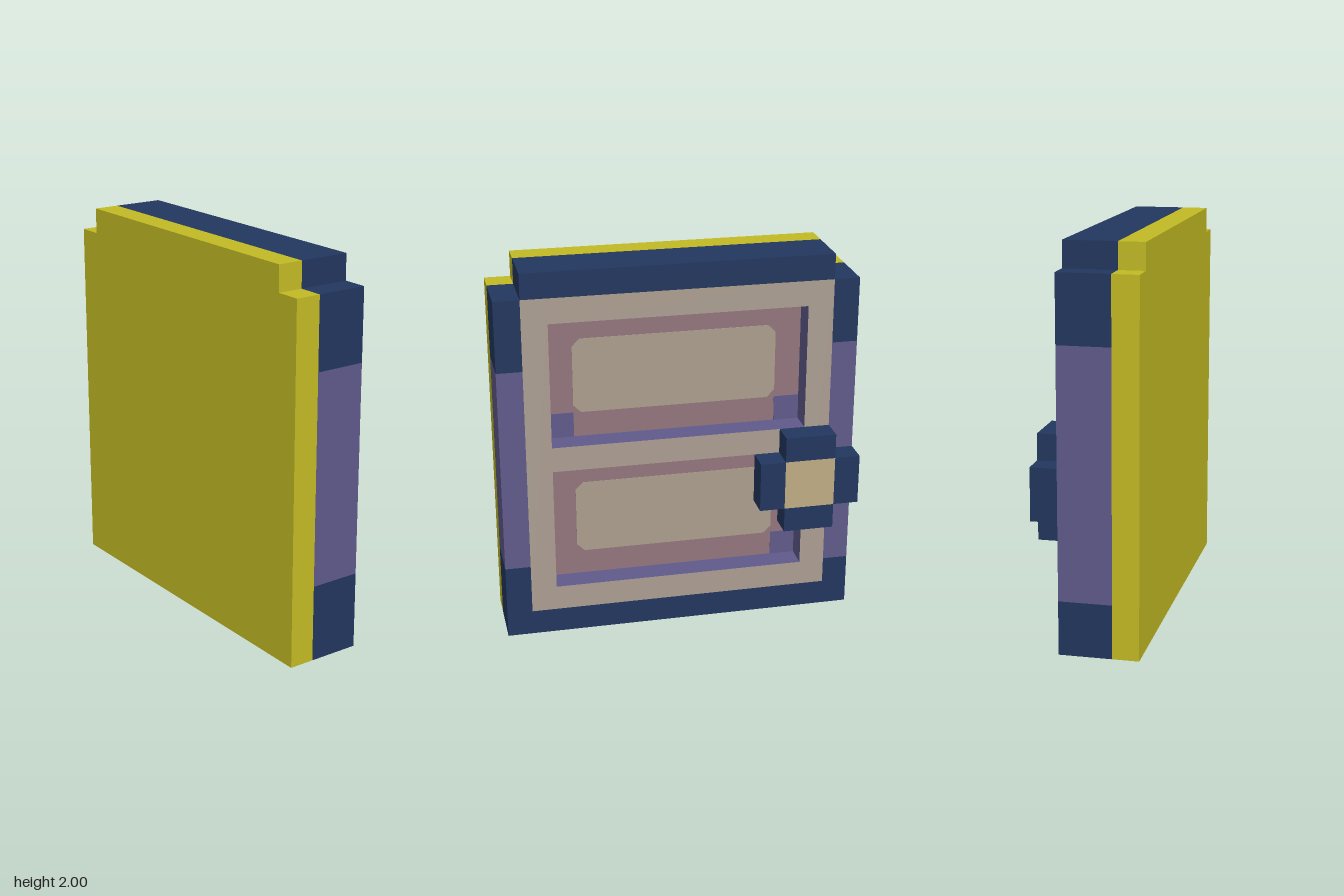
import * as THREE from 'three';

const V = 2 / 15; // one block of the grid

const material = (name, color) => {
  const m = new THREE.MeshStandardMaterial({ color });
  m.name = name;
  return m;
};

export function createModel() {
  const yellow = material('yellow', 0xc2ba24);
  const navy = material('navy', 0x22365e);
  const purple = material('purple', 0x5f5a8a);
  const tan = material('tan', 0xac9e92);
  const panelTan = material('panel tan', 0xaa9d8c);
  const mauve = material('mauve', 0x93757c);
  const sand = material('sand', 0xc0ac84);

  const door = new THREE.Group();
  door.name = 'door';

  const add = (name, geometry, mat, parent = door) => {
    const mesh = new THREE.Mesh(geometry, mat);
    mesh.name = name;
    parent.add(mesh);
    return mesh;
  };

  // Box between two corners, in grid blocks; mat may be six face materials
  const box = (name, mat, x0, x1, y0, y1, z0, z1, parent) => {
    const g = new THREE.BoxGeometry((x1 - x0) * V, (y1 - y0) * V, (z1 - z0) * V);
    g.translate((x0 + x1) / 2 * V, (y0 + y1) / 2 * V, (z0 + z1) / 2 * V);
    return add(name, g, mat, parent);
  };

  // Outline in grid blocks, extruded from z0 to z1
  const slab = (name, mat, points, z0, z1) => {
    const shape = new THREE.Shape(points.map(([x, y]) => new THREE.Vector2(x * V, y * V)));
    const g = new THREE.ExtrudeGeometry(shape, { depth: (z1 - z0) * V, bevelEnabled: false });
    g.translate(0, 0, z0 * V);
    return add(name, g, mat);
  };

  // Front sheet with notched top corners
  slab('frontSheet', yellow,
    [[-7, 0], [7, 0], [7, 14], [6, 14], [6, 15], [-6, 15], [-6, 14], [-7, 14]], 1, 2);

  // Core and outer top and bottom rails
  box('core', navy, -6, 6, 0, 15, 0, 1);
  box('bottomRail', navy, -6, 6, 0, 1, -1, 0);
  box('topRail', navy, -6, 6, 14, 15, -1, 0);

  // Edge columns with a purple middle band
  for (const [side, low, high] of [[1, 3, 11.2], [-1, 2.05, 11.45]]) {
    const column = new THREE.Group();
    column.name = side > 0 ? 'leftColumn' : 'rightColumn';
    door.add(column);
    const x0 = side > 0 ? 6 : -7;
    box('columnBase', navy, x0, x0 + 1, 0, low, -1, 1, column);
    box('columnBand', purple, x0, x0 + 1, low, high, -1, 1, column);
    box('columnTop', navy, x0, x0 + 1, high, 14, -1, 1, column);
  }

  // Raised frame on the back: purple inner sides and sills, navy undersides
  const frame = [purple, purple, purple, navy, tan, tan];
  for (const x of [-6, 5]) box('frameStile', frame, x, x + 1, 1, 14, -1, 0);
  for (const y of [1, 7, 13]) box('frameRail', frame, -5, 5, y, y + 1, -1, 0);

  // Recessed panes, each with a clipped-corner panel
  for (const y of [2, 8]) {
    box('recessBack', mauve, -5, 5, y, y + 5, -0.02, 0);
    const c = 0.3, b = y + 1, t = y + 4;
    slab('insetPanel', panelTan, [
      [-4 + c, b], [4 - c, b], [4, b + c], [4, t - c],
      [4 - c, t], [-4 + c, t], [-4, t - c], [-4, b + c]], -0.04, -0.02);
    box('recessCorner', purple, -5, -4, y, y + 1, -0.04, -0.02);
  }
  box('recessCorner', purple, 4, 5, 8, 9, -0.04, -0.02);

  // Cross-shaped handle with a sand-coloured centre
  const handle = new THREE.Group();
  handle.name = 'handle';
  door.add(handle);
  const hub = [navy, navy, navy, navy, navy, sand];
  box('handleCentre', hub, -6, -4, 5, 7, -2, -1, handle);
  for (const x of [-7, -4]) box('handleSide', navy, x, x + 1, 5, 7, -2, -1, handle);
  for (const y of [4, 7]) box('handleEnd', navy, -6, -4, y, y + 1, -2, -1, handle);

  return door;
}
